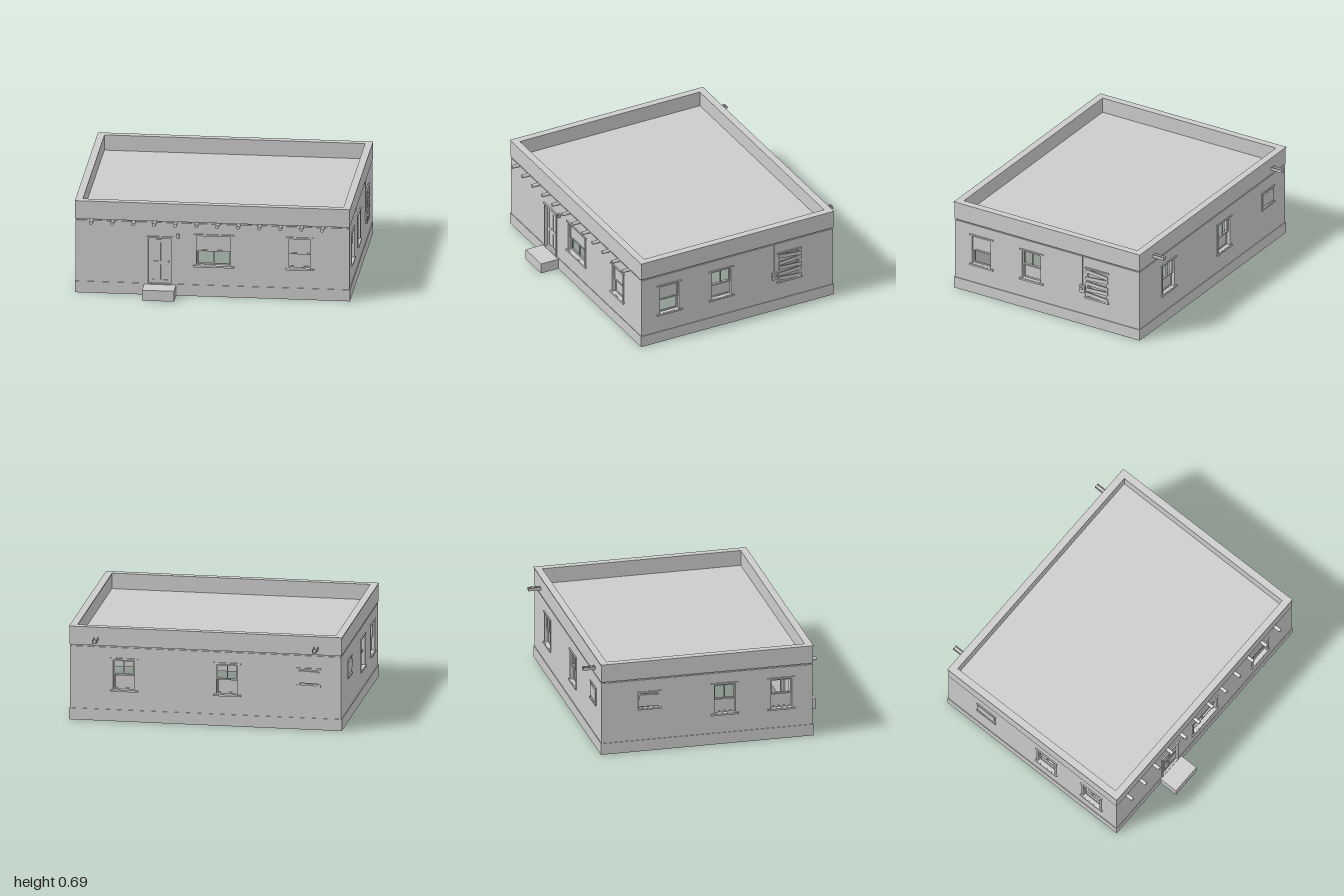
import * as THREE from 'three';

const CX = -0.005, CZ = -0.03;      // centre of the plan
const HX = 0.98, HZ = 0.775;        // half sizes to the outer wall faces
const T = 0.045;                    // wall thickness
const PLINTH = 0.085, BAND = 0.552, TOP = 0.68;

const mat = new THREE.MeshStandardMaterial({ color: 0xcccccc, flatShading: true });
const smooth = new THREE.MeshStandardMaterial({ color: 0xcccccc });

function add(parent, name, geo, x = 0, y = 0, z = 0, material = mat) {
  const m = new THREE.Mesh(geo, material);
  m.name = name;
  m.position.set(x, y, z);
  parent.add(m);
  return m;
}

// box given by its limits
function box(parent, name, x0, x1, y0, y1, z0, z1) {
  return add(parent, name, new THREE.BoxGeometry(x1 - x0, y1 - y0, z1 - z0),
    (x0 + x1) / 2, (y0 + y1) / 2, (z0 + z1) / 2);
}

function rect(x0, x1, y0, y1, Type = THREE.Shape) {
  return new Type([[x0, y0], [x1, y0], [x1, y1], [x0, y1]].map(p => new THREE.Vector2(...p)));
}

// upright plate with rectangular holes, from z0 to z1
function plate(parent, name, outer, holes, z0, z1) {
  const s = rect(...outer);
  s.holes = holes.map(h => rect(...h, THREE.Path));
  const g = new THREE.ExtrudeGeometry(s, { depth: z1 - z0, bevelEnabled: false });
  return add(parent, name, g, 0, 0, z0);
}

// horizontal ring that follows the plan of the walls
function ring(parent, name, y0, y1, out, inner = T) {
  const m = plate(parent, name, [-HX - out, HX + out, -HZ - out, HZ + out],
    [[-HX + inner, HX - inner, -HZ + inner, HZ - inner]], 0, y1 - y0);
  m.rotation.x = -Math.PI / 2;
  m.position.set(CX, y0, CZ);
}

// one sash: frame, centre bar and optional pane
function sash(parent, name, x0, x1, y0, y1, z, glazed, bar) {
  const f = 0.01, holes = [], c = (x0 + x1) / 2;
  if (bar) holes.push([x0 + f, c - 0.004, y0 + f, y1 - f], [c + 0.004, x1 - f, y0 + f, y1 - f]);
  else holes.push([x0 + f, x1 - f, y0 + f, y1 - f]);
  plate(parent, name, [x0, x1, y0, y1], holes, z - 0.01, z);
  if (glazed) box(parent, name + 'Pane', x0 + 0.005, x1 - 0.005, y0 + 0.005, y1 - 0.005, z - 0.007, z - 0.004);
}

// sash window with trim, sill and lintel
function sashWindow(wall, o) {
  const g = new THREE.Group();
  g.name = 'window';
  wall.add(g);
  const a = o.u - o.w / 2, b = o.u + o.w / 2, { y0, y1 } = o, mid = y0 + 0.115;
  const [x0, x1, yb, yt] = hole(o);
  plate(g, 'windowTrim', [a + 0.006, b - 0.006, y0, y1], [[x0, x1, yb, yt]], -0.002, 0.004);
  box(g, 'sill', a - 0.003, b + 0.003, y0 - 0.006, y0 + 0.007, -0.01, 0.012);
  box(g, 'lintel', a - 0.002, b + 0.002, y1 - 0.007, y1 + 0.002, -0.01, 0.009);
  sash(g, 'upperSash', x0, x1, mid - 0.005, yt, -0.01, !o.upperOpen, o.bar);
  sash(g, 'lowerSash', x0, x1, yb, mid + 0.005, -0.021, !o.lowerOpen, o.lowerBar);
  // loose boards nailed across
  if (o.boards) [0.25, 0.295, 0.338, 0.385, 0.43].forEach((y, i) => {
    const m = box(g, 'board', a + 0.008, b - 0.004, y - 0.014, y + 0.014, 0.004, 0.011);
    m.rotation.z = [-0.07, 0.05, -0.04, 0.08, -0.09][i];
  });
}

// small window shut with a panel
function smallWindow(wall, o) {
  const g = new THREE.Group();
  g.name = 'smallWindow';
  wall.add(g);
  const a = o.u - o.w / 2, b = o.u + o.w / 2;
  plate(g, 'smallTrim', [a + 0.006, b - 0.006, o.y0, o.y1], [hole(o)], -0.002, 0.004);
  box(g, 'smallSill', a, b, o.y0 - 0.005, o.y0 + 0.006, -0.01, 0.01);
  box(g, 'smallLintel', a, b, o.y1 - 0.006, o.y1 + 0.002, -0.01, 0.008);
  const p = box(g, 'panel', a + 0.012, b - 0.012, o.y0 + 0.02, o.y1 - 0.022, -0.006, 0.007);
  p.rotation.z = -0.04;
  box(g, 'smallBack', a + 0.015, b - 0.015, o.y0 + 0.01, o.y1 - 0.01, -0.025, -0.015);
}

const hole = o => [o.u - o.w / 2 + 0.02, o.u + o.w / 2 - 0.02, o.y0 + 0.008, o.y1 - 0.012];

// wall in its own frame: x to the right seen from outside, z outward
function makeWall(root, name, pos, turn, u0, u1, windows, extraHoles = []) {
  const g = new THREE.Group();
  g.name = name;
  g.position.set(...pos);
  g.rotation.y = turn;
  root.add(g);
  plate(g, name + 'Panel', [u0, u1, 0, 0.542], [...windows.map(hole), ...extraHoles], -T, 0);
  windows.forEach(o => (o.small ? smallWindow : sashWindow)(g, o));
  return g;
}

export function createModel() {
  const root = new THREE.Group();
  root.name = 'house';
  const big = { w: 0.195, y0: 0.225, y1: 0.463 };
  const small = { w: 0.175, y0: 0.32, y1: 0.45, small: true };
  const x0 = CX - HX, x1 = CX + HX, z0 = CZ - HZ, z1 = CZ + HZ;

  // walls with openings
  const doorHole = [-0.465, -0.303, PLINTH, 0.427];
  const front = makeWall(root, 'frontWall', [0, 0, z1], 0, x0, x1, [
    { ...big, u: 0.003, w: 0.285, lowerOpen: true, lowerBar: true },
    { ...big, u: 0.62 }], [doorHole]);
  makeWall(root, 'backWall', [0, 0, z0], Math.PI, -x1, -x0, [
    { ...big, u: -0.585, upperOpen: true, bar: true },
    { ...big, u: 0.16, upperOpen: true, bar: true },
    { ...small, u: 0.75 }]);
  const right = makeWall(root, 'rightWall', [x1, 0, 0], Math.PI / 2, -z1 + T, -z0 - T, [
    { ...big, u: -0.52, lowerOpen: true },
    { ...big, u: -0.1, upperOpen: true, bar: true },
    { ...big, u: 0.45, boards: true }]);
  makeWall(root, 'leftWall', [x0, 0, 0], -Math.PI / 2, z0 + T, z1 - T, [
    { ...small, u: -0.455 },
    { ...big, u: 0.1, upperOpen: true, bar: true },
    { ...big, u: 0.515, upperOpen: true, bar: true }]);

  // plinth, groove, parapet and coping
  ring(root, 'plinth', 0, PLINTH, 0.005);
  ring(root, 'groove', 0.542, BAND, -0.008);
  ring(root, 'parapet', BAND, TOP, 0.003);
  ring(root, 'coping', TOP, 0.687, 0.006, T + 0.002);
  box(root, 'roof', x0 + T, x1 - T, 0.55, 0.572, z0 + T, z1 - T);
  const base = add(root, 'underside', new THREE.PlaneGeometry(2 * HX, 2 * HZ), CX, 0.001, CZ);
  base.rotation.x = Math.PI / 2;

  // front door
  const door = new THREE.Group();
  door.name = 'frontDoor';
  front.add(door);
  const [d0, d1, dy0, dy1] = doorHole;
  box(door, 'doorLeaf', d0, d1, dy0, dy1, -0.03, -0.015);
  plate(door, 'doorPanels', [d0 + 0.008, d1 - 0.004, dy0, 0.412], [
    [-0.437, -0.39, 0.11, 0.225], [-0.377, -0.325, 0.11, 0.225],
    [-0.437, -0.39, 0.25, 0.39], [-0.377, -0.325, 0.25, 0.39]], -0.015, -0.011);
  box(door, 'leftJamb', -0.479, d0, dy0, dy1, -0.02, 0.007);
  box(door, 'rightJamb', d1, -0.297, dy0, dy1, -0.02, 0.007);
  box(door, 'doorHead', -0.482, -0.288, dy1, 0.439, -0.02, 0.01);
  add(door, 'doorKnob', new THREE.SphereGeometry(0.006, 10, 8), -0.318, 0.25, -0.006, smooth);
  box(front, 'porchLamp', -0.26, -0.242, 0.432, 0.462, 0, 0.016);
  box(root, 'doorstep', -0.495, -0.265, 0, 0.078, z1, 0.89);

  // projecting roof beams
  for (let i = 0; i < 12; i++) {
    const beam = add(root, 'roofBeam', new THREE.CylinderGeometry(0.013, 0.013, 0.075, 12),
      -0.87 + i * 0.1505, 0.539, z1 + 0.0175, smooth);
    beam.rotation.x = Math.PI / 2;
  }

  // open rain spouts at the back
  for (const x of [-0.805, 0.785]) {
    box(root, 'spoutFloor', x - 0.016, x + 0.016, 0.588, 0.593, -0.9, z0 + 0.01);
    for (const s of [-1, 1])
      box(root, 'spoutSide', x + s * 0.0135 - 0.0025, x + s * 0.0135 + 0.0025, 0.588, 0.61, -0.9, z0 + 0.01);
  }

  // electric meter with conduit
  box(right, 'meterBox', 0.308, 0.35, 0.256, 0.315, 0, 0.013);
  const dial = add(right, 'meterDial', new THREE.CylinderGeometry(0.011, 0.011, 0.012, 16), 0.329, 0.293, 0.018, smooth);
  dial.rotation.x = Math.PI / 2;
  add(right, 'conduit', new THREE.CylinderGeometry(0.003, 0.003, 0.23, 8), 0.329, 0.427, 0.004, smooth);

  return root;
}
